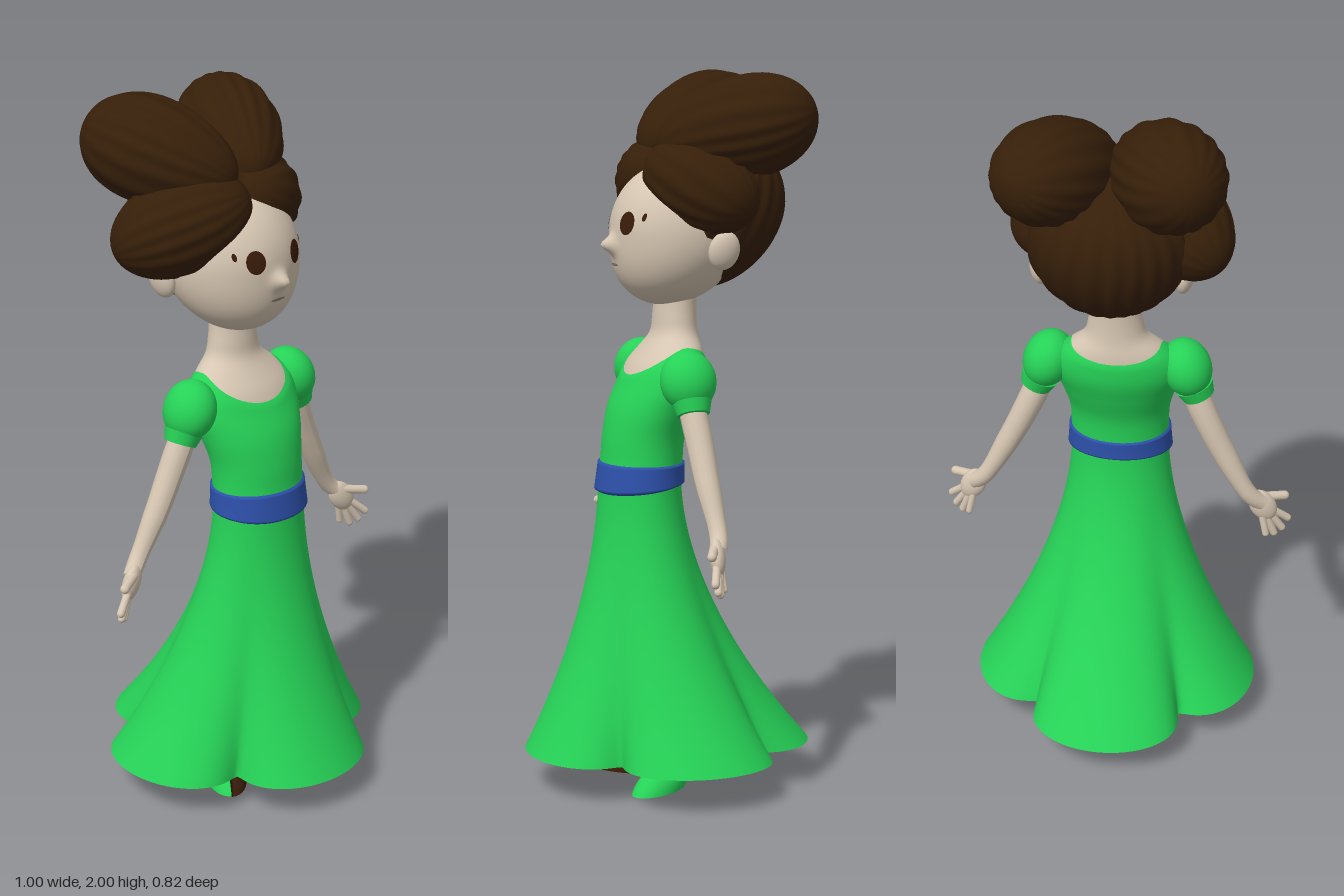
import * as THREE from 'three';

const mat = (name, color) => {
  const m = new THREE.MeshStandardMaterial({ color });
  m.name = name;
  return m;
};
const V = (x, y, z) => new THREE.Vector3(x, y, z);
const UP = V(0, 1, 0);

// Closed ring surface: fn(theta, v) gives a point, theta = 0 faces the front
function loft(nu, nv, fn) {
  const pos = [], index = [];
  for (let j = 0; j <= nv; j++) {
    for (let i = 0; i < nu; i++) {
      pos.push(...fn((i / nu) * Math.PI * 2, j / nv));
      if (j === nv) continue;
      const a = j * nu + i, b = j * nu + ((i + 1) % nu);
      index.push(a, b, b + nu, a, b + nu, a + nu);
    }
  }
  const g = new THREE.BufferGeometry();
  g.setAttribute('position', new THREE.Float32BufferAttribute(pos, 3));
  g.setIndex(index);
  g.computeVertexNormals();
  return g;
}

// Egg with shallow strand grooves from pole to pole; taper widens the +y end
function strandBall([rx, ry, rz], strands = 0, taper = 0) {
  const g = new THREE.SphereGeometry(1, strands ? 120 : 32, 32);
  const p = g.attributes.position;
  for (let i = 0; i < p.count; i++) {
    const x = p.getX(i), y = p.getY(i), z = p.getZ(i);
    const groove = strands ? 0.02 * Math.hypot(x, z)
      * Math.sin(strands * Math.atan2(z, x) + Math.sin(Math.atan2(z, x) * 3) * 1.5 + y * 2) : 0;
    const k = (1 + groove) * (1 + taper * y);
    p.setXYZ(i, x * rx * k, y * ry, z * rz * k);
  }
  g.computeVertexNormals();
  return g;
}

// Tube whose radius follows a list
function taperedTube(points, radii) {
  const curve = new THREE.CatmullRomCurve3(points), seg = 20, radial = 16;
  const g = new THREE.TubeGeometry(curve, seg, 1, radial);
  const p = g.attributes.position, q = V(0, 0, 0);
  for (let i = 0; i < p.count; i++) {
    const t = Math.floor(i / (radial + 1)) / seg, c = curve.getPointAt(t);
    const f = t * (radii.length - 1), k = Math.min(Math.floor(f), radii.length - 2);
    const r = THREE.MathUtils.lerp(radii[k], radii[k + 1], f - k);
    q.fromBufferAttribute(p, i).sub(c).multiplyScalar(r).add(c);
    p.setXYZ(i, q.x, q.y, q.z);
  }
  g.computeVertexNormals();
  return g;
}

// Torso and neck sections: height, half width, centre z, half depth
const SECTIONS = [
  [0.82, 0.143, 0.085, 0.116], [0.93, 0.135, 0.078, 0.108], [1.0, 0.138, 0.071, 0.108],
  [1.08, 0.158, 0.048, 0.113], [1.15, 0.175, 0.02, 0.108], [1.2, 0.168, 0.006, 0.098],
  [1.24, 0.135, -0.008, 0.082], [1.28, 0.09, -0.018, 0.065], [1.33, 0.075, -0.02, 0.06],
  [1.44, 0.066, -0.025, 0.058],
];
const section = new THREE.CubicInterpolant(
  SECTIONS.map((s) => s[0]), SECTIONS.flatMap((s) => s.slice(1)), 3);
function torso(a, y, grow = 0) {
  const [rx, zc, rz] = section.evaluate(y);
  return [Math.sin(a) * (rx + grow), y, zc + Math.cos(a) * (rz + grow)];
}
const neckline = (a) => 1.25 - (Math.cos(a) > 0 ? 0.08 : 0.03) * Math.cos(a) ** 2;

// Skirt: an oval waist opening into four rounded lobes, folds softer towards the waist
function skirtPoint(a, v) {
  const q = Math.PI / 4;
  const fold = q - Math.abs(((a + q) % (2 * q)) - q);
  const f = q - Math.hypot(fold, 0.03 + 0.3 * v);
  const depth = 0.155, centre = 0.255;
  const c = Math.cos(f) / depth, s = Math.sin(f) / 0.21, d = centre / depth;
  const A = c * c + s * s, B = c * d;
  const lobe = (B + Math.sqrt(Math.max(0, B * B - A * (d * d - 1)))) / A;
  const t = Math.pow(1 - v, 1.8), L = THREE.MathUtils.lerp;
  return [Math.sin(a) * L(0.138, lobe, t), 0.11 + 0.77 * v,
    L(0.083, 0, t) + Math.cos(a) * L(0.113, lobe, t)];
}

// Head: an ellipsoid with the jaw pushed forward and a small pointed nose
const HEAD = { y: 1.56, z: -0.03, rx: 0.19, ry: 0.2, rz: 0.19 };
const jawPush = (ny) => (ny < 0 ? 0.075 * ny * ny * (1 + ny * 0.5) : 0);
const nose = (x, y) => 0.036 * Math.exp(-(x * x + (y - 1.53) ** 2) / 0.0005);
function faceZ(x, y) {
  const nx = x / HEAD.rx, ny = (y - HEAD.y) / HEAD.ry;
  return HEAD.z + HEAD.rz * Math.sqrt(Math.max(0, 1 - nx * nx - ny * ny)) + jawPush(ny) + nose(x, y);
}

export function createModel() {
  const model = new THREE.Group();
  const green = mat('dress green', 0x26d257), blue = mat('sash blue', 0x2d50aa);
  const skin = mat('skin', 0xd6c6b2), hair = mat('hair brown', 0x361f09);
  const dark = mat('eye brown', 0x3a1c0a), lip = mat('lip', 0x8f7a6c);

  const add = (name, geometry, material, parent = model) => {
    const m = new THREE.Mesh(geometry, material);
    m.name = name;
    parent.add(m);
    return m;
  };
  const ball = (name, c, dir, r, material, strands, taper) => {
    const m = add(name, strandBall(r, strands, taper), material);
    m.position.set(...c);
    m.quaternion.setFromUnitVectors(UP, V(...dir).normalize());
  };

  // Dress
  add('skirt', loft(160, 36, skirtPoint), green);
  const hem = new THREE.Shape(Array.from({ length: 160 }, (_, i) => {
    const [x, , z] = skirtPoint((i / 160) * Math.PI * 2, 0);
    return new THREE.Vector2(x, z);
  }));
  const under = add('skirtUnderside', new THREE.ShapeGeometry(hem), green);
  under.rotation.x = Math.PI / 2;
  under.position.y = 0.11;
  add('bodice', loft(64, 30, (a, v) =>
    torso(a, THREE.MathUtils.lerp(0.87, neckline(a), v), v === 1 ? 0 : 0.004)), green);
  add('sash', loft(64, 16, (a, v) => torso(a, 0.855 + 0.073 * v - 0.014 * Math.cos(a) * (1 - v),
    v === 0 || v === 1 ? 0 : 0.01)), blue);
  add('neck', loft(48, 20, (a, v) => torso(a, THREE.MathUtils.lerp(neckline(a) - 0.01, 1.43, v))), skin);

  // Head
  const headGeo = new THREE.SphereGeometry(1, 120, 90), hp = headGeo.attributes.position;
  for (let i = 0; i < hp.count; i++) {
    const x = hp.getX(i) * HEAD.rx, ny = hp.getY(i), y = HEAD.y + ny * HEAD.ry, z = hp.getZ(i);
    hp.setXYZ(i, x, y, HEAD.z + z * HEAD.rz + jawPush(ny) + (z > 0 ? nose(x, y) : 0));
  }
  headGeo.computeVertexNormals();
  add('head', headGeo, skin);

  // Painted face details laid on the head surface
  const facePatch = (name, x, y, w, h, material) => {
    const g = new THREE.RingGeometry(0.001, 1, 28, 4), p = g.attributes.position;
    for (let i = 0; i < p.count; i++) {
      const px = x + p.getX(i) * w, py = y + p.getY(i) * h;
      p.setXYZ(i, px, py, faceZ(px, py) + 0.003);
    }
    g.computeVertexNormals();
    add(name, g, material);
  };
  facePatch('mouth', 0, 1.475, 0.026, 0.004, lip);

  for (const s of [1, -1]) {
    const side = s > 0 ? 'left' : 'right';
    facePatch(side + 'Eye', s * 0.073, 1.592, 0.026, 0.032, dark);
    facePatch(side + 'Lash', s * 0.122, 1.61, 0.005, 0.011, dark);
    ball(side + 'Ear', [s * 0.195, 1.52, -0.093], [s * 0.15, 1, -0.2], [0.026, 0.054, 0.044], skin);

    // Puffed sleeve, arm and hand
    ball(side + 'Sleeve', [s * 0.193, 1.168, 0.01], [s * -0.4, 1, 0], [0.069, 0.085, 0.078], green);
    const cuff = add(side + 'Cuff', new THREE.CylinderGeometry(0.055, 0.045, 0.035, 28), green);
    cuff.position.set(s * 0.222, 1.096, 0.008);
    cuff.rotation.z = s * 0.4;
    add(side + 'Arm', taperedTube([V(s * 0.2, 1.13, 0.01), V(s * 0.25, 1.015, 0),
      V(s * 0.3, 0.91, -0.004), V(s * 0.382, 0.765, -0.008), V(s * 0.415, 0.735, 0.006)],
    [0.037, 0.038, 0.036, 0.033, 0.026, 0.024]), skin);
    ball(side + 'Palm', [s * 0.418, 0.722, 0.01], [s * 0.5, -0.8, 0.1], [0.036, 0.054, 0.022], skin);
    const finger = (name, from, to, r) => {
      const a = V(s * from[0], from[1], from[2]), b = V(s * to[0], to[1], to[2]);
      const m = add(side + name, new THREE.CapsuleGeometry(r, a.distanceTo(b), 6, 12), skin);
      m.position.copy(a).lerp(b, 0.5);
      m.quaternion.setFromUnitVectors(UP, b.clone().sub(a).normalize());
    };
    finger('Thumb', [0.42, 0.745, 0.02], [0.477, 0.735, 0.048], 0.013);
    finger('IndexFinger', [0.44, 0.705, 0.02], [0.488, 0.662, 0.042], 0.011);
    finger('MiddleFinger', [0.435, 0.695, 0.015], [0.473, 0.637, 0.028], 0.011);
    finger('RingFinger', [0.428, 0.69, 0.008], [0.452, 0.627, 0.014], 0.011);
    finger('LittleFinger', [0.418, 0.69, 0], [0.43, 0.635, -0.005], 0.01);

    // Ankle boot turned outwards
    const boot = new THREE.Group();
    boot.name = side + 'Boot';
    boot.position.set(s * 0.085, 0, 0.025);
    boot.rotation.y = s * 0.62;
    model.add(boot);
    const dome = (v) => Math.sqrt(Math.max(0, 1 - v ** 2.4));
    const foot = (grow, angle) => loft(40, 14, (a, v) => [
      Math.sin(angle(a)) * (0.055 * dome(v) + grow), 0.008 + 0.068 * v,
      0.053 - 0.045 * v + Math.cos(angle(a)) * (0.105 * dome(v) + grow)]);
    const ankle = (grow, angle) => loft(40, 4, (a, v) => [
      Math.sin(angle(a)) * (0.046 + grow), 0.02 + 0.11 * v, Math.cos(angle(a)) * (0.054 + grow)]);
    add(side + 'Foot', foot(0, (a) => a), green, boot);
    add(side + 'Ankle', ankle(0, (a) => a), green, boot);
    const sole = new THREE.CircleGeometry(1, 40);
    sole.scale(0.055, 0.105, 1).rotateX(Math.PI / 2).translate(0, 0.008, 0.053);
    add(side + 'Sole', sole, green, boot);
    // Brown inner front panel on the right boot
    if (s < 0) {
      const inner = (a) => THREE.MathUtils.clamp(a, 0, 1.9);
      add('bootPanelFoot', foot(0.003, inner), dark, boot);
      add('bootPanelAnkle', ankle(0.003, inner), dark, boot);
    }
  }

  // Hair: back of the head, two front sweeps and two raised buns
  ball('backHair', [0, 1.625, -0.12], [0, 1, -0.25], [0.222, 0.222, 0.2], hair, 22, 0.12);
  ball('rightSweep', [-0.158, 1.674, -0.055], [-0.68, -0.41, -0.61], [0.135, 0.2, 0.135], hair, 16);
  ball('leftSweep', [0.118, 1.692, -0.055], [0.68, -0.41, -0.61], [0.128, 0.175, 0.128], hair, 16);
  ball('rightBun', [-0.145, 1.848, -0.15], [-0.4, 0.24, -0.85], [0.143, 0.225, 0.143], hair, 16, 0.15);
  ball('leftBun', [0.13, 1.845, -0.155], [0.42, 0.24, -0.85], [0.138, 0.225, 0.138], hair, 16, 0.15);
  return model;
}
